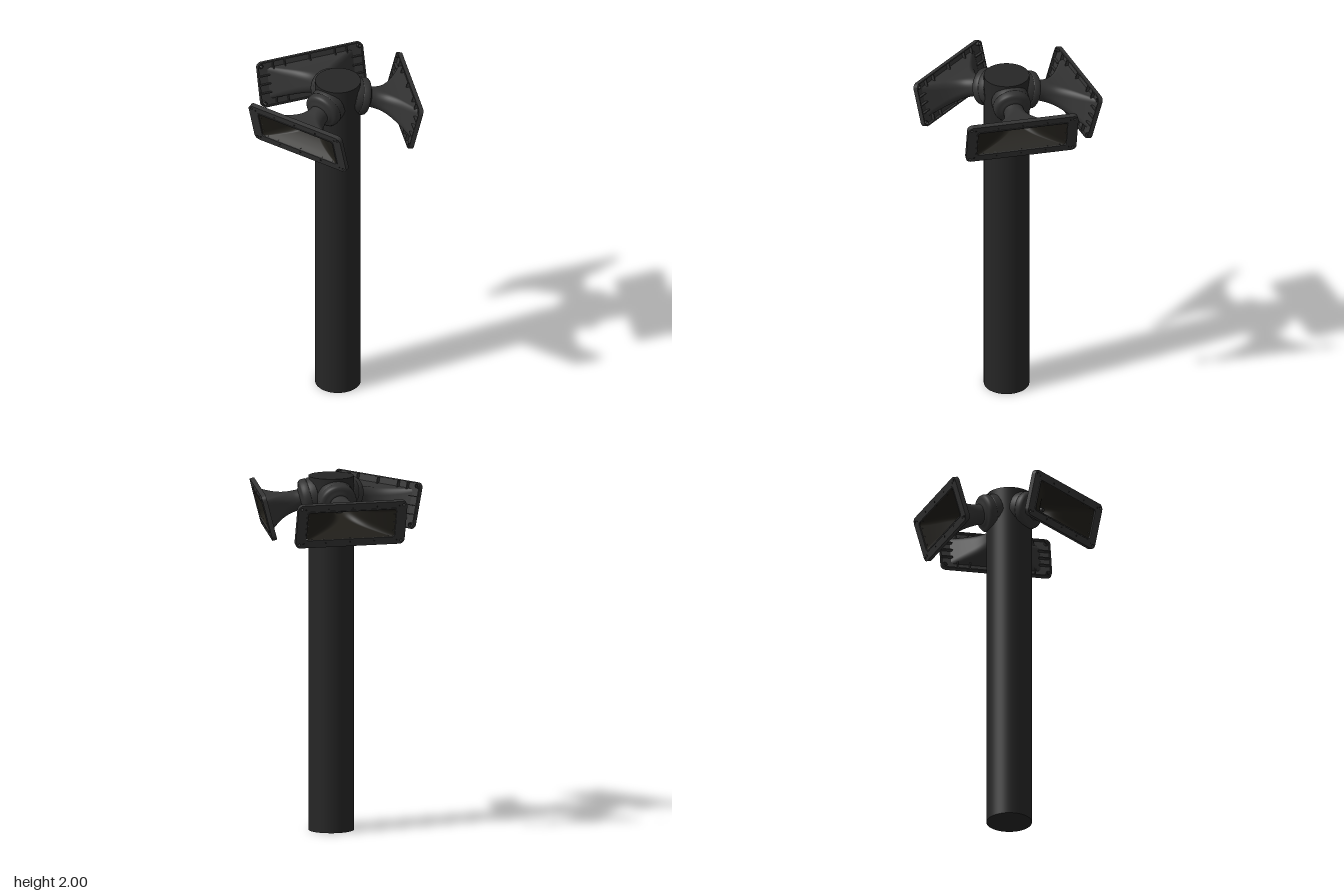
import * as THREE from 'three';

const mat = (color, side = THREE.FrontSide) => {
  const m = new THREE.MeshStandardMaterial({ color });
  m.side = side;
  return m;
};
const poleMat = mat(0x262626);
const hornMat = mat(0x333333);
const innerMat = mat(0x211f1a);
const screwMat = mat(0x1a1a1a);

function add(parent, name, geo, material, x = 0, y = 0, z = 0) {
  const m = new THREE.Mesh(geo, material);
  m.name = name;
  m.position.set(x, y, z);
  parent.add(m);
  return m;
}

// Outline of a rounded rectangle with half sizes a, b and corner radius r
function roundedRect(a, b, r, n = 8) {
  const pts = [];
  for (let c = 0; c < 4; c++) {
    const sx = c === 0 || c === 3 ? 1 : -1, sy = c < 2 ? 1 : -1;
    for (let i = 0; i <= n; i++) {
      const t = (c + i / n) * Math.PI / 2;
      pts.push(new THREE.Vector2(sx * (a - r) + r * Math.cos(t), sy * (b - r) + r * Math.sin(t)));
    }
  }
  return pts;
}

// Rounded frame with a rounded opening and optional round holes
function frame(a, b, r, a2, b2, r2, depth, holes = []) {
  const s = new THREE.Shape(roundedRect(a, b, r));
  s.holes.push(new THREE.Path(roundedRect(a2, b2, r2).reverse()));
  for (const [x, y] of holes) s.holes.push(new THREE.Path().absarc(x, y, 0.007, 0, Math.PI * 2, true));
  return new THREE.ExtrudeGeometry(s, { depth, bevelEnabled: false, curveSegments: 8 });
}

// Flaring skin from a round throat to a rectangular mouth
function hornSkin(start, end, inset, inward) {
  const curve = new THREE.CatmullRomCurve3([
    [0.056, 0.056, 0], [0.06, 0.057, 0.2], [0.08, 0.059, 0.4], [0.122, 0.066, 0.6],
    [0.19, 0.078, 0.81], [0.262, 0.092, 1],
  ].map(p => new THREE.Vector3(...p)));
  const pos = [], idx = [], rows = 28;
  let n = 0;
  for (let i = 0; i <= rows; i++) {
    const p = curve.getPoint(i / rows);
    const a = p.x - inset, b = p.y - inset;
    const r = THREE.MathUtils.lerp(Math.min(a, b) * 0.999, 0.018, Math.pow(p.z, 1.3));
    const ring = roundedRect(a, b, r);
    n = ring.length;
    for (const q of ring) pos.push(q.x, q.y, start + (end - start) * p.z);
  }
  for (let i = 0; i < rows; i++) for (let j = 0; j < n; j++) {
    const a = i * n + j, b = i * n + (j + 1) % n, c = a + n, d = b + n;
    if (inward) idx.push(a, c, b, b, c, d);
    else idx.push(a, b, c, b, d, c);
  }
  const g = new THREE.BufferGeometry();
  g.setAttribute('position', new THREE.Float32BufferAttribute(pos, 3));
  g.setIndex(idx);
  g.computeVertexNormals();
  return g;
}

// One horn speaker pointing along +z, its mouth at distance D
function makeHorn(D) {
  const horn = new THREE.Group();
  const W = 0.315, H = 0.131, T = 0.026;

  // Driver housing with a seam groove and a rounded front edge
  const profile = [
    [0, 0.08], [0.1, 0.08], [0.105, 0.084], [0.105, 0.118], [0.101, 0.12], [0.101, 0.124],
    [0.106, 0.126], [0.106, 0.148], [0.103, 0.159], [0.096, 0.166], [0.085, 0.17],
    [0.066, 0.174], [0.058, 0.182], [0, 0.182],
  ].map(p => new THREE.Vector2(...p));
  // Split at hard edges so that flat walls keep crisp normals
  const housing = new THREE.LatheGeometry(profile, 48).rotateX(Math.PI / 2);
  // Turning y to z keeps the profile running outward
  add(horn, 'driverHousing', housing, hornMat);

  // Flared body
  add(horn, 'hornBody', hornSkin(0.17, D - 0.004, 0, false), hornMat);
  add(horn, 'hornInside', hornSkin(0.185, D - 0.004, 0.007, true), innerMat);
  add(horn, 'throatPlug', new THREE.CylinderGeometry(0.012, 0.02, 0.06, 20).rotateX(Math.PI / 2), hornMat, 0, 0, 0.21);

  // Mouth flange: thin face, deep skirt and a low lip around the opening
  const corners = [];
  for (const sx of [-1, 1]) for (const sy of [-1, 1]) corners.push([sx * (W - 0.021), sy * (H - 0.021)]);
  add(horn, 'flangeFace', frame(W, H, 0.03, 0.255, 0.085, 0.013, 0.009, corners), hornMat, 0, 0, D - 0.009);
  add(horn, 'flangeSkirt', frame(W, H, 0.03, W - 0.007, H - 0.007, 0.023, T - 0.009), hornMat, 0, 0, D - T);
  add(horn, 'mouthLip', frame(0.262, 0.092, 0.018, 0.255, 0.085, 0.013, 0.003), hornMat, 0, 0, D);

  // Bolt bosses behind the corner holes
  const boss = new THREE.LatheGeometry(
    [[0.007, 0.018], [0.007, 0], [0.013, 0], [0.013, 0.018]].map(p => new THREE.Vector2(...p)), 16).rotateX(Math.PI / 2);
  for (const [x, y] of corners) add(horn, 'boltBoss', boss, mat(0x333333, THREE.DoubleSide), x, y, D - T);

  // Stiffening ribs behind the flange
  for (const s of [-1, 1]) {
    for (const x of [-0.22, -0.15, 0, 0.15, 0.22])
      add(horn, 'flangeRib', new THREE.BoxGeometry(0.006, 0.046, 0.02), hornMat, x, s * (H - 0.026), D - 0.017);
    for (const y of [-0.05, 0, 0.05])
      add(horn, 'endRib', new THREE.BoxGeometry(0.066, 0.006, 0.02), hornMat, s * (W - 0.037), y, D - 0.017);
  }

  // Small screws on the front face
  const screw = new THREE.CylinderGeometry(0.005, 0.005, 0.003, 12).rotateX(Math.PI / 2);
  for (const s of [-1, 1]) {
    for (const x of [-0.27, -0.14, 0, 0.14, 0.27])
      add(horn, 'faceScrew', screw, screwMat, x, s * 0.105, D + 0.0005);
  }
  return horn;
}

export function createModel() {
  const model = new THREE.Group();
  model.name = 'hornSpeakerPole';
  const px = 0.026, pz = -0.018;

  // Pole
  add(model, 'pole', new THREE.CylinderGeometry(0.127, 0.127, 2, 64), poleMat, px, 1, pz);

  // Three horns: name, yaw, downward tilt, distance to mouth, roll
  const horns = [
    ['leftHorn', 1.444, 0.25, 0.405, 0],
    ['rightHorn', -0.956, 0.25, 0.398, 0.015],
    ['backHorn', -3.1, 0.29, 0.434, 0],
  ];
  for (const [name, yaw, tilt, D, roll] of horns) {
    const h = makeHorn(D);
    h.name = name;
    h.position.set(px, 1.914, pz);
    h.rotation.set(tilt, yaw, roll, 'YXZ');
    model.add(h);
  }
  return model;
}
